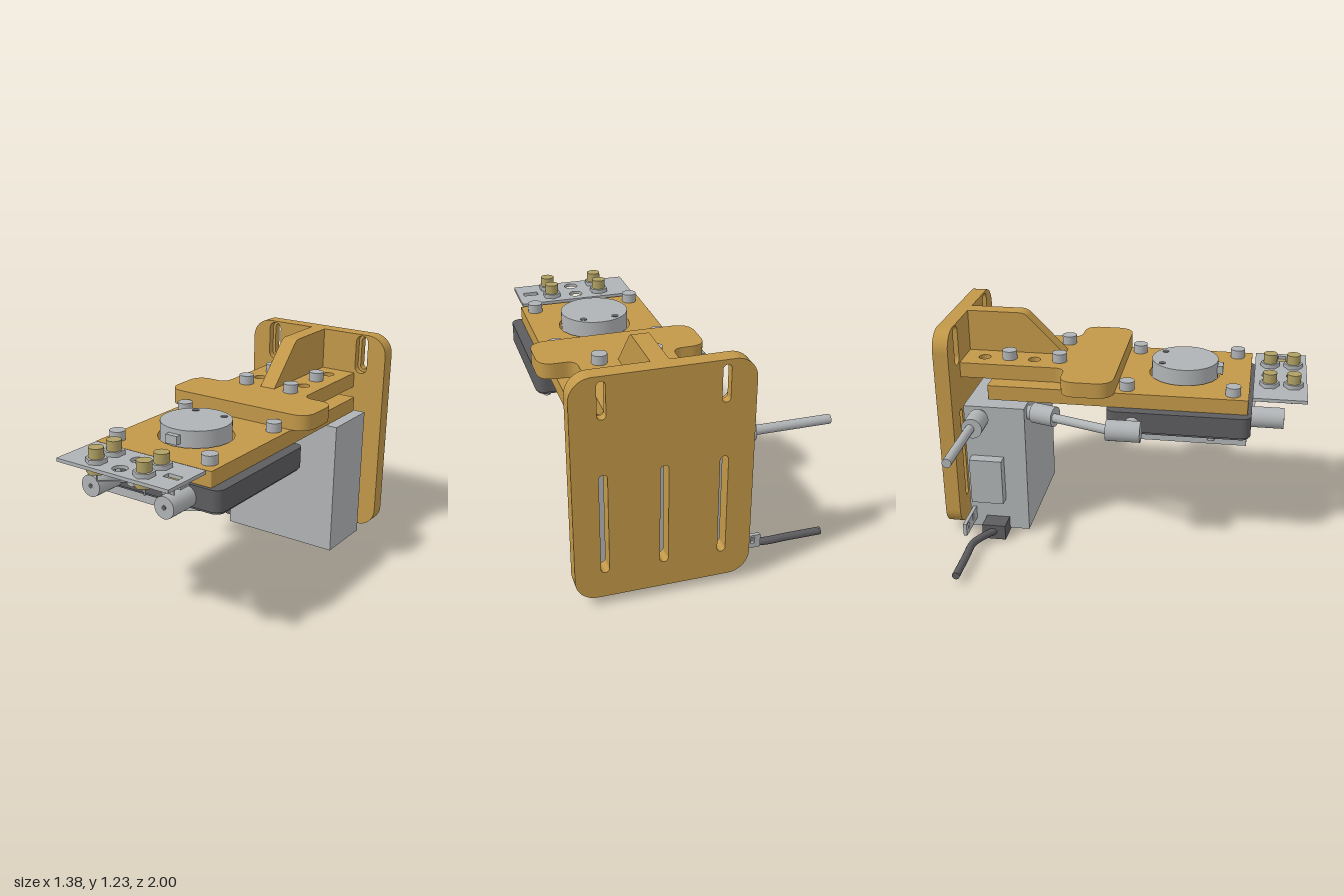
import * as THREE from 'three';

const mat = (name, color) => {
  const m = new THREE.MeshStandardMaterial({ color });
  m.name = name;
  return m;
};

export function createModel() {
  const root = new THREE.Group();
  const gold = mat('golden bracket', 0xc29849);
  const grey = mat('light grey metal', 0xb0b3b5);
  const dark = mat('dark grey plastic', 0x5d5c5f);
  const brass = mat('brass', 0xb0a064);
  const green = mat('circuit green', 0x1f5a3c);

  const add = (name, geo, material, x = 0, y = 0, z = 0) => {
    const m = new THREE.Mesh(geo, material);
    m.name = name;
    m.position.set(x, y, z);
    root.add(m);
    return m;
  };
  // Box given by its limits
  const box = (name, material, x0, x1, y0, y1, z0, z1) =>
    add(name, new THREE.BoxGeometry(x1 - x0, y1 - y0, z1 - z0), material, (x0 + x1) / 2, (y0 + y1) / 2, (z0 + z1) / 2);
  // Upright cylinder between two heights
  const post = (name, material, x, z, r, y0, y1, sides = 28) =>
    add(name, new THREE.CylinderGeometry(r, r, y1 - y0, sides), material, x, (y0 + y1) / 2, z);
  // Cylinder between two points
  const rod = (name, material, a, b, r, sides = 24) => {
    const p = new THREE.Vector3(...a), q = new THREE.Vector3(...b), d = q.clone().sub(p);
    const m = add(name, new THREE.CylinderGeometry(r, r, d.length(), sides), material);
    m.position.copy(p).add(q).multiplyScalar(0.5);
    m.quaternion.setFromUnitVectors(new THREE.Vector3(0, 1, 0), d.normalize());
    return m;
  };
  const roundRect = (x0, x1, y0, y1, r, s = new THREE.Shape()) => {
    s.moveTo(x0 + r, y0).lineTo(x1 - r, y0);
    s.absarc(x1 - r, y0 + r, r, -Math.PI / 2, 0);
    s.absarc(x1 - r, y1 - r, r, 0, Math.PI / 2);
    s.absarc(x0 + r, y1 - r, r, Math.PI / 2, Math.PI);
    s.absarc(x0 + r, y0 + r, r, Math.PI, Math.PI * 1.5);
    return s;
  };
  const slot = (x, y0, y1, w) => roundRect(x - w, x + w, y0, y1, w * 0.999, new THREE.Path());
  const hole = (x, z, r) => new THREE.Path().absarc(x, -z, r, 0, Math.PI * 2, true);
  const extrude = (s, depth) => new THREE.ExtrudeGeometry(s, { depth, bevelEnabled: false, curveSegments: 10 });
  // Horizontal plate from a shape drawn in x and -z
  const slab = (name, material, s, y0, y1) => add(name, extrude(s, y1 - y0).rotateX(-Math.PI / 2), material, 0, y0, 0);

  // Mounting plate in two layers, so the upper slots have a wider recess
  [[-1, 0.045, 0.021], [-0.955, 0.04, 0.038]].forEach(([z, depth, w]) => {
    const s = roundRect(-0.2, 0.69, 0.05, 1.235, 0.11);
    const grow = w - 0.021;
    [-0.05, 0.54].forEach(x => s.holes.push(slot(x, 1.02 - grow, 1.21 + grow, w)));
    [-0.05, 0.245, 0.54].forEach(x => s.holes.push(slot(x, 0.19, 0.735, 0.021)));
    add('mountingPlate', extrude(s, depth), gold, 0, 0, z);
  });

  // Upper arm with a wide rounded front flange
  const arm = new THREE.Shape();
  arm.moveTo(-0.01, 0.92).lineTo(-0.01, 0.38);
  arm.quadraticCurveTo(-0.01, 0.32, -0.07, 0.32).lineTo(-0.11, 0.32);
  arm.quadraticCurveTo(-0.2, 0.32, -0.2, 0.23).lineTo(-0.2, 0.13);
  arm.quadraticCurveTo(-0.2, 0.03, -0.1, 0.03).lineTo(0.59, 0.03);
  arm.quadraticCurveTo(0.69, 0.03, 0.69, 0.13).lineTo(0.69, 0.23);
  arm.quadraticCurveTo(0.69, 0.32, 0.6, 0.32).lineTo(0.56, 0.32);
  arm.quadraticCurveTo(0.5, 0.32, 0.5, 0.38).lineTo(0.5, 0.92);
  for (const x of [0.1, 0.39]) for (const z of [-0.8, -0.515]) arm.holes.push(hole(x, z, 0.034));
  slab('upperArm', gold, arm, 0.915, 1.0);

  // Gusset rib on the arm
  const rib = new THREE.Shape();
  rib.moveTo(0.92, 0.96).lineTo(0.33, 0.96).lineTo(0.36, 1.0).lineTo(0.57, 1.215);
  rib.quadraticCurveTo(0.59, 1.235, 0.62, 1.235).lineTo(0.92, 1.235);
  add('gussetRib', extrude(rib, 0.09).rotateY(Math.PI / 2), gold, 0.2, 0, 0);

  // Lower carrier plate with a round window
  const carrier = roundRect(-0.11, 0.6, -0.69, 0.735, 0.005);
  carrier.holes.push(hole(0.245, 0.32, 0.2));
  slab('carrierPlate', gold, carrier, 0.832, 0.915);

  // Bolts through the arm and carrier plate
  for (const x of [0.1, 0.39]) for (const z of [-0.37, -0.655]) {
    post('armBolt', grey, x, z, 0.041, 1.0, 1.05);
    post('armNut', grey, x, z, 0.045, 0.798, 0.832, 6);
  }
  for (const x of [-0.04, 0.53]) for (const z of [0.03, 0.605]) post('carrierBolt', grey, x, z, 0.041, 0.915, 0.965);

  // Sensor disc with locating tab and pin holes
  post('sensorDisc', grey, 0.245, 0.32, 0.186, 0.83, 1.0, 56);
  box('discTab', grey, 0.21, 0.28, 0.928, 0.975, 0.48, 0.535);
  for (const x of [0.155, 0.335]) post('discPinHole', dark, x, 0.2, 0.02, 1.0, 1.002);

  // Dark sensor housing with a tapered cover underneath
  slab('sensorHousing', dark, roundRect(-0.17, 0.66, -0.71, 0.07, 0.05), 0.718, 0.832);
  slab('housingLowerEdge', dark, roundRect(-0.16, 0.65, -0.7, 0.06, 0.045), 0.705, 0.718);
  const cover = new THREE.Shape();
  cover.moveTo(-0.12, 0.706).lineTo(-0.12, 0.655).lineTo(0.37, 0.655).lineTo(0.54, 0.7).lineTo(0.54, 0.706);
  add('taperedCover', extrude(cover, 0.73), grey, 0, 0, -0.04);
  for (const x of [-0.13, 0.6]) for (const z of [-0.02, 0.5]) post('housingScrew', grey, x, z, 0.02, 0.685, 0.706, 16);

  // Front terminals on the housing
  for (const x of [0.02, 0.47]) {
    rod('terminal', grey, [x, 0.767, 0.7], [x, 0.767, 0.885], 0.057, 32);
    rod('terminalSocket', dark, [x, 0.767, 0.88], [x, 0.767, 0.887], 0.014, 6);
  }
  for (const x of [0.14, 0.36]) rod('smallTerminal', grey, [x, 0.77, 0.7], [x, 0.77, 0.725], 0.032);

  // Thin electrode board at the front
  const board = roundRect(-0.09, 0.585, -1, -0.71, 0.002);
  [0.79, 0.925].forEach(z => board.holes.push(hole(0.245, z, 0.039)));
  board.holes.push(roundRect(0.465, 0.55, -0.885, -0.84, 0.004, new THREE.Path()));
  slab('electrodeBoard', grey, board, 0.906, 0.924);
  box('boardChip', grey, 0.44, 0.575, 0.885, 0.895, 0.83, 0.895);
  box('boardChipBase', brass, 0.46, 0.555, 0.895, 0.905, 0.83, 0.895);

  // Brass electrodes with nuts
  for (const x of [0.1, 0.39]) for (const z of [0.795, 0.925]) {
    post('electrode', brass, x, z, 0.038, 0.87, 1.0);
    post('electrodeNut', grey, x, z, 0.054, 0.924, 0.948, 6);
    post('electrodeFlange', brass, x, z, 0.052, 0.872, 0.906, 6);
  }

  // Contact wires and their backing tab
  const wire = (name, pts) => {
    for (let i = 1; i < pts.length; i++) rod(name, grey, pts[i - 1], pts[i], 0.005, 8);
  };
  for (const z of [0.795, 0.925]) for (const x of [0.1, 0.39])
    wire('contactWire', [[x, 0.88, z], [x, 0.825, z], [0.245, 0.81, 0.78]]);
  wire('chipWire', [[0.51, 0.89, 0.86], [0.51, 0.835, 0.86], [0.25, 0.825, 0.78]]);
  const tab = new THREE.Shape();
  tab.moveTo(0.11, 0.906).lineTo(0.11, 0.82).lineTo(0.245, 0.795).lineTo(0.39, 0.82).lineTo(0.39, 0.906);
  add('contactTab', extrude(tab, 0.008), grey, 0, 0, 0.711);

  // Electronics box below the arm
  box('electronicsBox', grey, -0.11, 0.6, 0.018, 0.785, -0.88, -0.535);
  box('rearClip', grey, -0.02, 0.51, 0.09, 0.16, -0.902, -0.88);
  box('sideBlock', grey, -0.175, -0.11, 0.21, 0.48, -0.85, -0.665);
  box('circuitBoard', green, -0.07, 0.48, 0.012, 0.018, -0.85, -0.565);
  box('circuitChip', dark, 0.15, 0.23, 0.006, 0.012, -0.73, -0.65);
  for (const z of [-0.81, -0.61]) post('boardScrew', grey, 0.44, z, 0.02, 0.006, 0.012, 16);

  // Slotted side bracket
  const bracket = roundRect(-0.32, -0.1, 0.07, 0.145, 0.003);
  for (const x of [-0.278, -0.185])
    bracket.holes.push(roundRect(x - 0.011, x + 0.011, 0.097, 0.134, 0.002, new THREE.Path()));
  add('sideBracket', extrude(bracket, 0.02), grey, 0, 0, -0.865);

  // Dark cable with its plug
  box('cablePlug', dark, -0.22, -0.09, 0.002, 0.09, -0.785, -0.65);
  const path = new THREE.CatmullRomCurve3([[-0.69, -0.8], [-0.5, -0.8], [-0.36, -0.8], [-0.29, -0.77], [-0.2, -0.71]]
    .map(([x, z]) => new THREE.Vector3(x, 0.05, z)));
  add('darkCable', new THREE.TubeGeometry(path, 30, 0.021, 16), dark);
  rod('cableEnd', dark, [-0.692, 0.05, -0.8], [-0.68, 0.05, -0.8], 0.021);

  // Upper outlet tube and fitting
  rod('outletTube', grey, [-0.692, 0.728, -0.797], [-0.27, 0.728, -0.797], 0.025);
  rod('outletFitting', grey, [-0.28, 0.728, -0.787], [-0.145, 0.728, -0.787], 0.057, 32);
  rod('outletNeck', grey, [-0.15, 0.728, -0.787], [-0.1, 0.728, -0.787], 0.04);

  // Linking tube between housing and electronics box
  rod('housingFitting', grey, [-0.263, 0.766, -0.05], [-0.263, 0.766, 0.135], 0.057, 32);
  rod('housingNeck', grey, [-0.24, 0.766, 0.075], [-0.16, 0.766, 0.075], 0.04);
  rod('linkTube', grey, [-0.263, 0.766, -0.04], [-0.06, 0.725, -0.4], 0.025);
  rod('boxFitting', grey, [-0.06, 0.728, -0.37], [-0.02, 0.728, -0.5], 0.057, 32);
  rod('boxNeck', grey, [-0.02, 0.728, -0.49], [-0.02, 0.728, -0.54], 0.04);
  return root;
}
